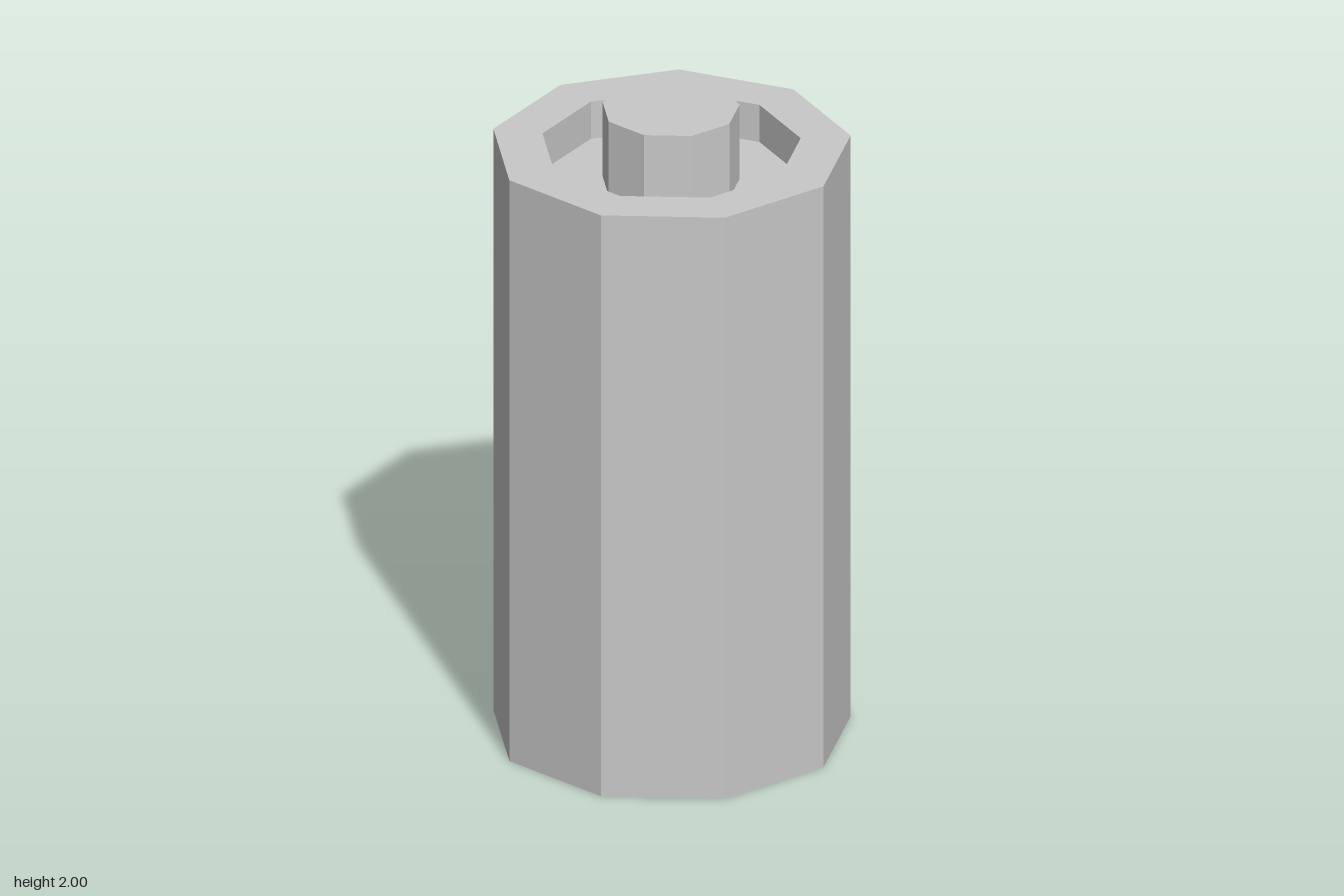
import * as THREE from 'three';

const SIDES = 9;

export function createModel() {
  const grey = new THREE.MeshStandardMaterial({ color: 0xc8c8c8, flatShading: true });
  grey.name = 'plain grey';
  const model = new THREE.Group();
  model.name = 'battery';

  // Turned nine-sided part with a corner pointing to the back
  function addTurned(name, profile) {
    const points = profile.map(([r, y]) => new THREE.Vector2(r, y));
    const geometry = new THREE.LatheGeometry(points, SIDES, Math.PI).toNonIndexed();
    geometry.computeVertexNormals();
    const mesh = new THREE.Mesh(geometry, grey);
    mesh.name = name;
    mesh.position.z = 0.015;
    model.add(mesh);
  }

  // Casing, with a recess in the bottom and a shallower one in the top
  addTurned('casing', [
    [0, 0.175], [0.408, 0.175], [0.408, 0], [0.534, 0],
    [0.534, 1.88], [0.386, 1.88], [0.386, 1.76], [0, 1.76],
  ]);

  // Raised contact standing in the top recess
  addTurned('topContact', [[0.205, 1.76], [0.205, 2], [0, 2]]);

  return model;
}
